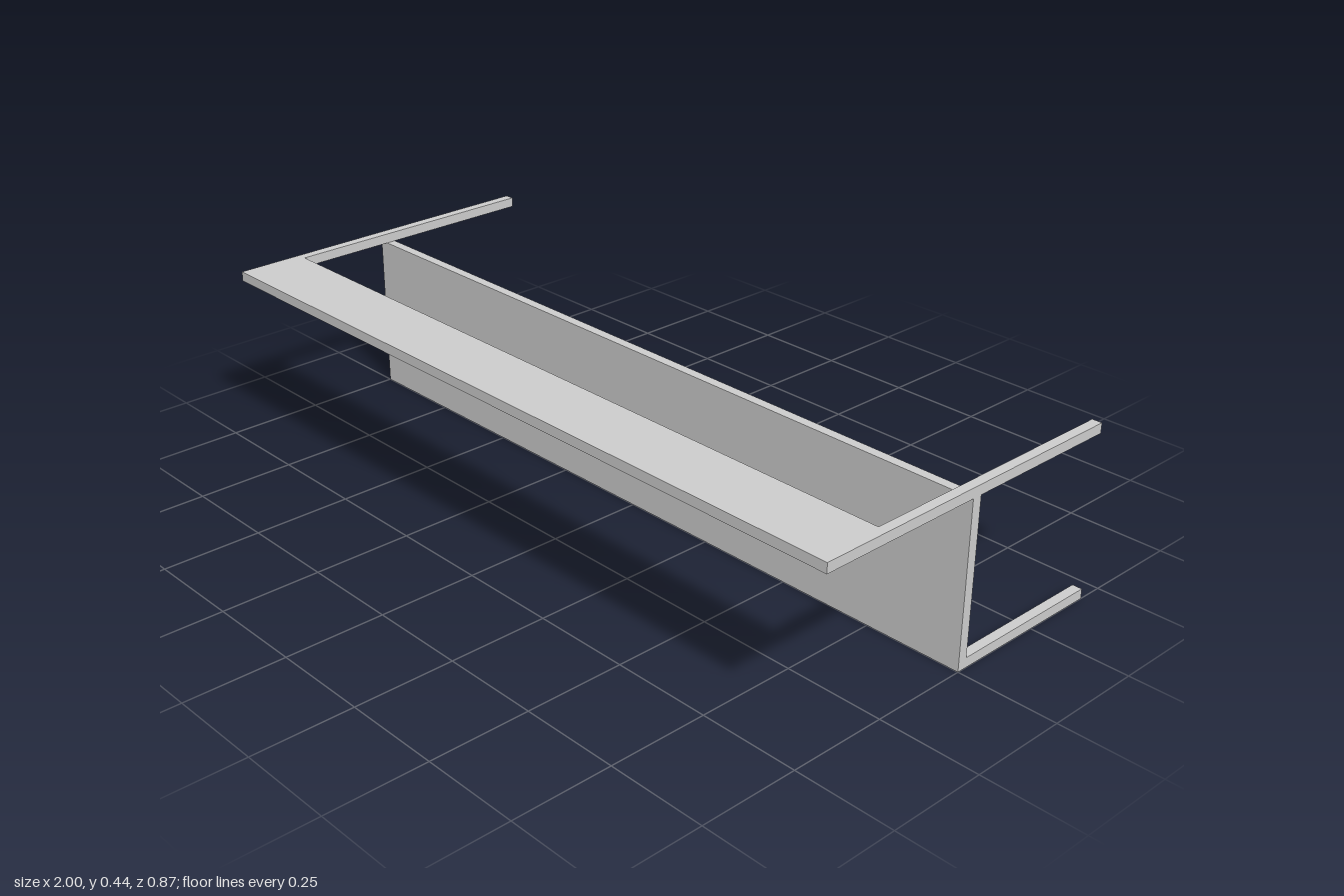
import * as THREE from 'three';

export function createModel() {
  const model = new THREE.Group();
  const material = new THREE.MeshStandardMaterial({ color: 0xcccccc, flatShading: true });

  const T = 0.025;      // board and rail thickness
  const HEIGHT = 0.436; // overall height
  const DEPTH = 0.435;  // half depth
  const SHELF_BACK = 0.262;

  // Box given by its minimum and maximum corners
  function addBox(name, [x0, y0, z0], [x1, y1, z1]) {
    const mesh = new THREE.Mesh(new THREE.BoxGeometry(x1 - x0, y1 - y0, z1 - z0), material);
    mesh.position.set((x0 + x1) / 2, (y0 + y1) / 2, (z0 + z1) / 2);
    mesh.name = name;
    model.add(mesh);
  }

  // Upright panel spanning the full width
  addBox('uprightPanel', [-1, 0, -T], [1, HEIGHT - T, 0]);

  // Flat shelf along the front, level with the top rails
  addBox('frontShelf', [-1, HEIGHT - T, SHELF_BACK], [1, HEIGHT, DEPTH]);

  // Rails at each end: top ones run back from the shelf, bottom ones from the panel
  for (const [side, x] of [['left', 1 - T], ['right', -1]]) {
    addBox(side + 'TopRail', [x, HEIGHT - T, -DEPTH], [x + T, HEIGHT, SHELF_BACK]);
    addBox(side + 'BottomRail', [x, 0, -DEPTH], [x + T, T, -T]);
  }

  return model;
}
